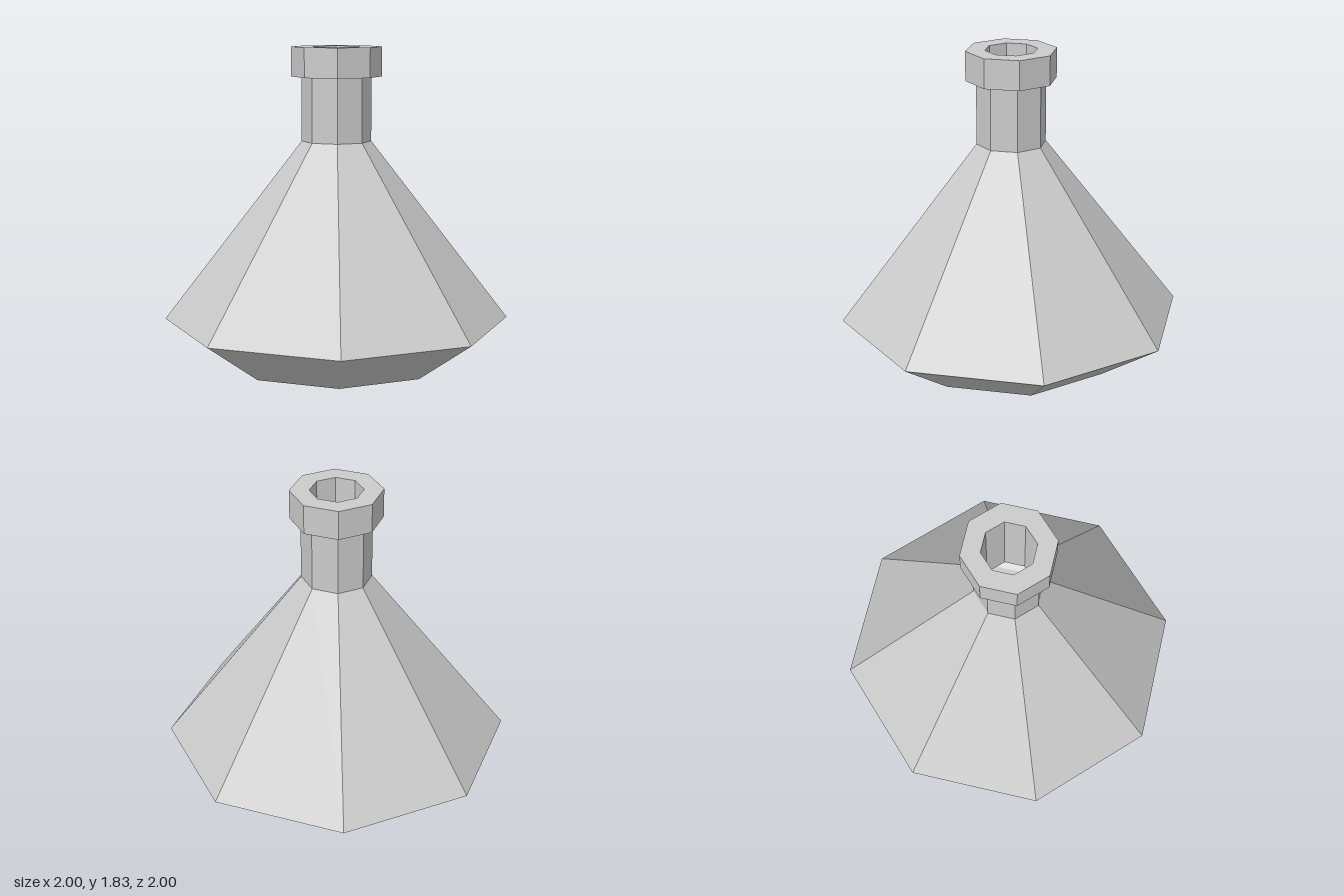
import * as THREE from 'three';

const SIDES = 8;

export function createModel() {
  const flask = new THREE.Group();
  flask.name = 'flask';
  const material = new THREE.MeshStandardMaterial({ color: 0xcccccc, flatShading: true });

  // Turns a [radius, height] profile into an eight-sided faceted part
  function facetedPart(name, profile) {
    const points = profile.map(([r, y]) => new THREE.Vector2(r, y));
    const mesh = new THREE.Mesh(new THREE.LatheGeometry(points, SIDES), material);
    mesh.name = name;
    flask.add(mesh);
  }

  // Flat base, flared underside and tapering shoulder
  facetedPart('body', [[0, 0], [0.635, 0], [1, 0.25], [0.2, 1.29]]);

  // Straight neck
  facetedPart('neck', [[0.2, 1.29], [0.2, 1.66]]);

  // Wider collar around the mouth, open in the middle
  facetedPart('lip', [[0.2, 1.66], [0.26, 1.66], [0.26, 1.83], [0.15, 1.83]]);

  // Hollow inside, from the mouth down to the floor
  facetedPart('innerWall', [[0.15, 1.83], [0.15, 1.27], [0.93, 0.26], [0.62, 0.05], [0, 0.05]]);

  return flask;
}
